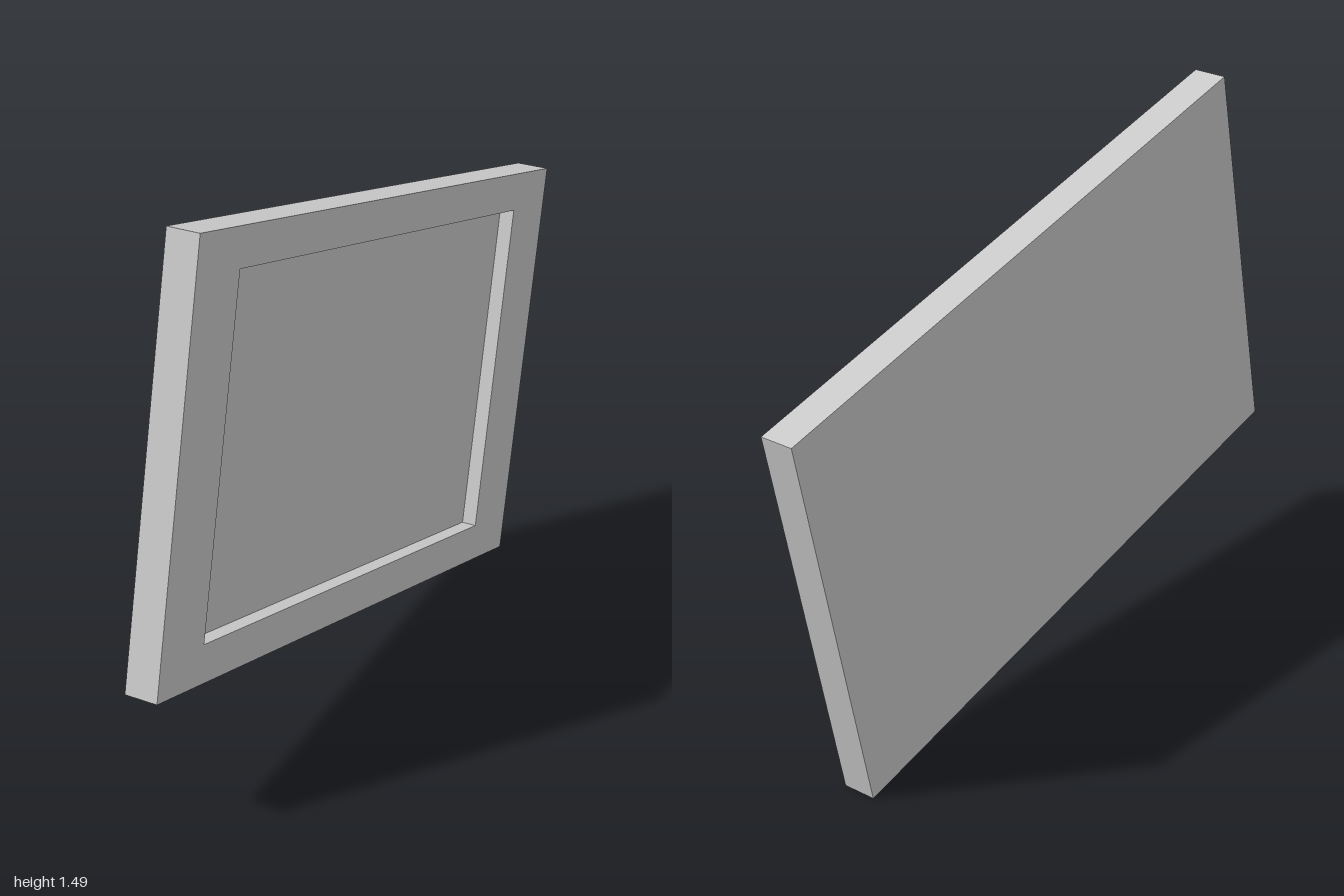
import * as THREE from 'three';

const WIDTH = 1.803, HEIGHT = 1.14, THICK = 0.093;   // outer slab
const OPEN_W = 1.431, OPEN_H = 0.931, DEPTH = 0.042; // recess
const TILT = -0.207;

// Closed rectangle centred on the origin
function rect(PathType, w, h) {
  const x = w / 2, y = h / 2;
  return new PathType([[-x, -y], [x, -y], [x, y], [-x, y]].map(p => new THREE.Vector2(...p)));
}

export function createModel() {
  const model = new THREE.Group();
  model.name = 'tiltedFramedPanel';
  const material = new THREE.MeshStandardMaterial({ color: 0xcccccc, flatShading: true });

  const add = (name, geometry) => {
    geometry.rotateY(Math.PI / 2); // recessed face looks towards +x
    const mesh = new THREE.Mesh(geometry, material);
    mesh.name = name;
    model.add(mesh);
  };

  // Raised border around the recess
  const border = rect(THREE.Shape, WIDTH, HEIGHT);
  border.holes.push(rect(THREE.Path, OPEN_W, OPEN_H));
  const frame = new THREE.ExtrudeGeometry(border, { depth: DEPTH, bevelEnabled: false });
  frame.translate(0, 0, THICK / 2 - DEPTH);
  add('frame', frame);

  // Solid backing that forms the recess floor and the plain rear face
  const backing = new THREE.BoxGeometry(WIDTH, HEIGHT, THICK - DEPTH);
  backing.translate(0, 0, -DEPTH / 2);
  add('backPanel', backing);

  // Lean the slab so that it rests on one corner
  model.rotation.x = TILT;
  model.position.y = (HEIGHT * Math.cos(TILT) + WIDTH * Math.sin(-TILT)) / 2;

  const root = new THREE.Group();
  root.name = 'framedPanel';
  root.add(model);
  return root;
}
